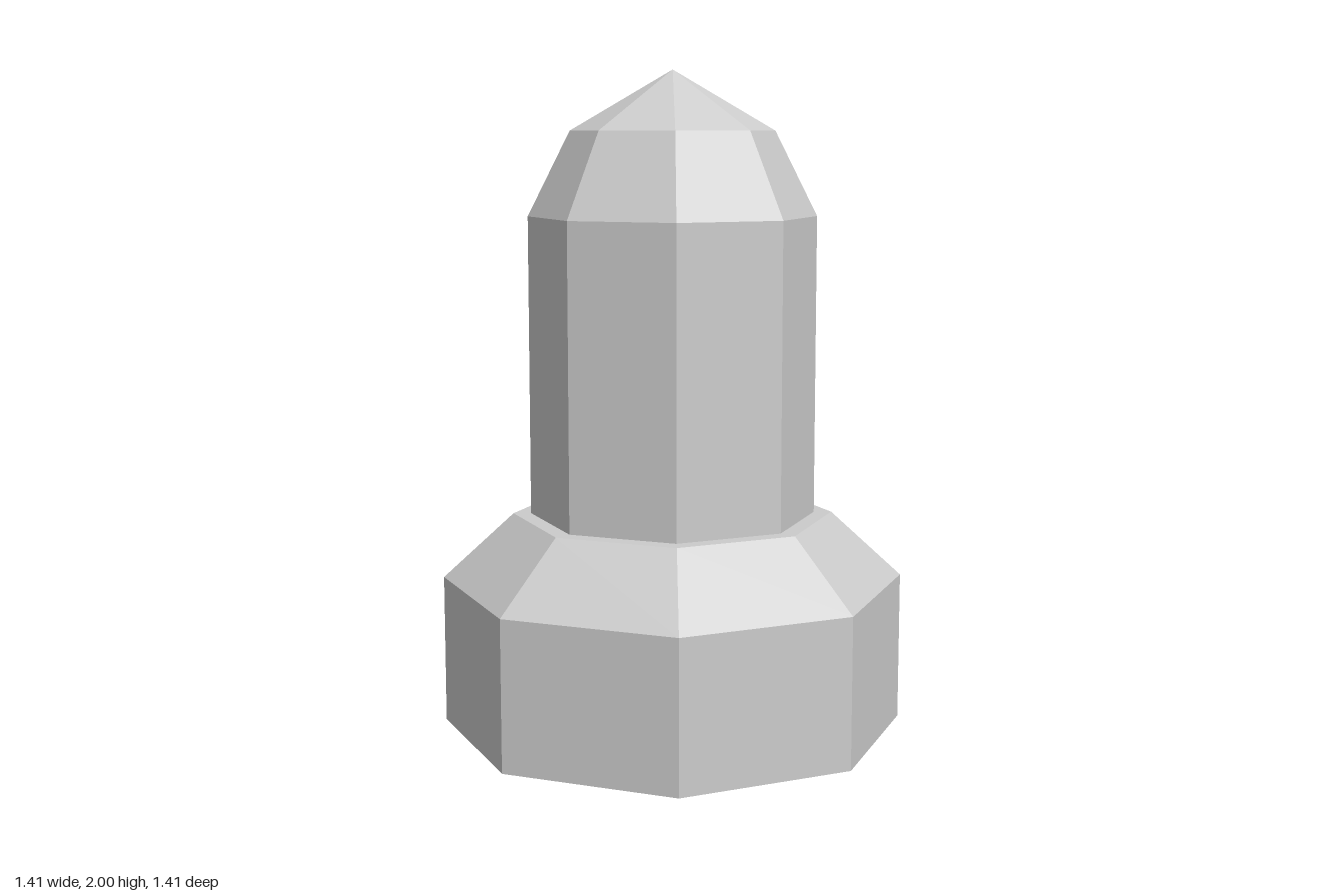
import * as THREE from 'three';

const SIDES = 8;
const material = new THREE.MeshStandardMaterial({
  color: 0xcccccc, flatShading: true, side: THREE.DoubleSide,
});

// Eight-sided faceted shell turned from a [radius, height] profile, bottom to top
function facetedShell(name, profile) {
  const points = profile.map(([r, y]) => new THREE.Vector2(r, y));
  const geometry = new THREE.LatheGeometry(points, SIDES).toNonIndexed();
  geometry.computeVertexNormals();
  const mesh = new THREE.Mesh(geometry, material);
  mesh.name = name;
  return mesh;
}

export function createModel() {
  const model = new THREE.Group();
  model.name = 'facetedPost';
  model.add(
    // Hollow skirt, open underneath
    facetedShell('baseSkirt', [[0.707, 0], [0.707, 0.455]]),
    // Sloped shoulder with a narrow flat ledge around the shaft
    facetedShell('shoulder', [[0.707, 0.455], [0.49, 0.655]]),
    facetedShell('ledge', [[0.49, 0.655], [0.436, 0.655]]),
    // Straight shaft
    facetedShell('shaft', [[0.436, 0.655], [0.436, 1.565]]),
    // Two-stage pointed cap
    facetedShell('tip', [[0.436, 1.565], [0.308, 1.82], [0, 2]]),
  );
  return model;
}
